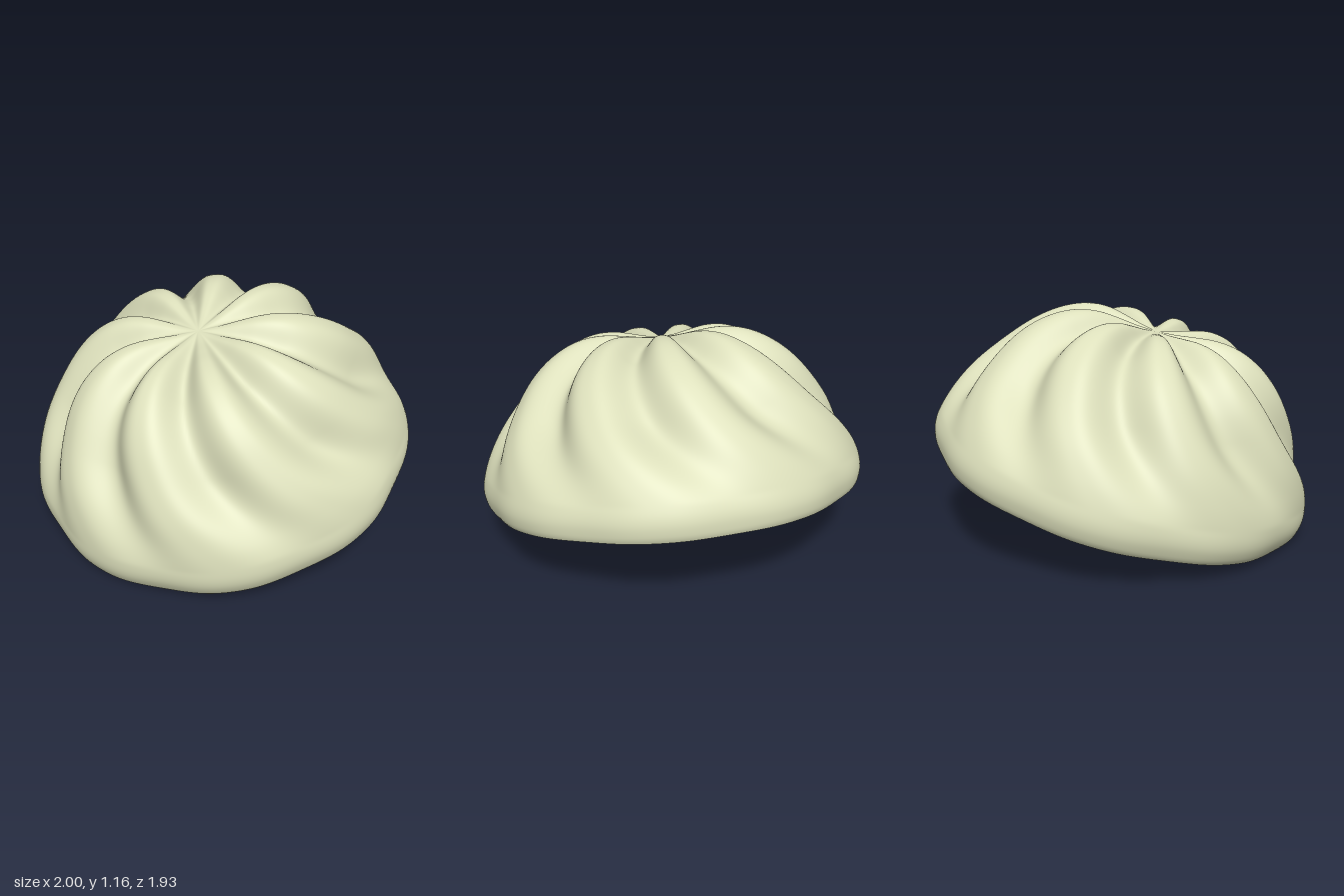
import * as THREE from 'three';
import { mergeVertices } from 'three/addons/utils/BufferGeometryUtils.js';

const FOLDS = 9, SEGMENTS = 270, ROWS = 120;
const { degToRad, smoothstep } = THREE.MathUtils;

// Plump dome outline (radius, height), from the rim up to the dimple
const outline = new THREE.SplineCurve([
  [0.975, 0], [0.992, 0.03], [1.003, 0.09], [0.992, 0.16], [0.953, 0.27],
  [0.893, 0.39], [0.805, 0.52], [0.705, 0.645], [0.605, 0.735], [0.5, 0.797],
  [0.4, 0.829], [0.3, 0.836], [0.2, 0.825], [0.1, 0.81], [0, 0.802],
].map(([r, y]) => new THREE.Vector2(r, y)));

// Lathe the dome, press swirling pleats in along its normals, and
// close it underneath with a flat face that follows the lobed rim
function pleatedBun() {
  const points = outline.getSpacedPoints(ROWS);
  points[ROWS].x = 0;
  const geo = new THREE.LatheGeometry(points, SEGMENTS);
  const pos = geo.attributes.position, nor = geo.attributes.normal;
  const p = new THREE.Vector3(), n = new THREE.Vector3();
  const rim = [];
  for (let i = 0; i < pos.count; i++) {
    const row = i % (ROWS + 1), column = Math.floor(i / (ROWS + 1));
    const t = 1 - row / ROWS; // 0 at the dimple, 1 at the rim
    const angle = column / SEGMENTS * Math.PI * 2;
    const twist = degToRad(-16 + 48 * Math.min(t, 0.88) ** 2.5);
    const wave = 0.5 + 0.5 * Math.cos(FOLDS * (angle - twist));
    const depth = 0.1 * smoothstep(t, 0, 0.32) * (1 - 0.82 * smoothstep(t, 0.6, 0.9));
    p.fromBufferAttribute(pos, i);
    n.fromBufferAttribute(nor, i);
    n.y *= 1 - smoothstep(t, 0.9, 1); // keeps the rim level
    p.addScaledVector(n, -depth * wave ** 1.5);
    pos.setXYZ(i, p.x, p.y, p.z);
    if (row === 0 && column < SEGMENTS) rim.push(new THREE.Vector2(p.x, p.z));
  }
  // Weld the seam so the shading is continuous
  geo.deleteAttribute('uv');
  geo.deleteAttribute('normal');
  const dome = mergeVertices(geo, 1e-5);
  dome.computeVertexNormals();
  const base = new THREE.ShapeGeometry(new THREE.Shape(rim)).rotateX(Math.PI / 2);
  return { pleatedDome: dome, flatBase: base };
}

export function createModel() {
  const model = new THREE.Group();
  model.name = 'bun';
  const dough = new THREE.MeshStandardMaterial({ color: 0xdcdfbb });

  // The whole bun leans forward
  const tilted = new THREE.Group();
  tilted.name = 'tiltedBun';
  for (const [name, geometry] of Object.entries(pleatedBun())) {
    const mesh = new THREE.Mesh(geometry, dough);
    mesh.name = name;
    tilted.add(mesh);
  }
  tilted.rotation.x = degToRad(15);
  tilted.position.set(0, 0.25, -0.02);
  model.add(tilted);
  return model;
}
